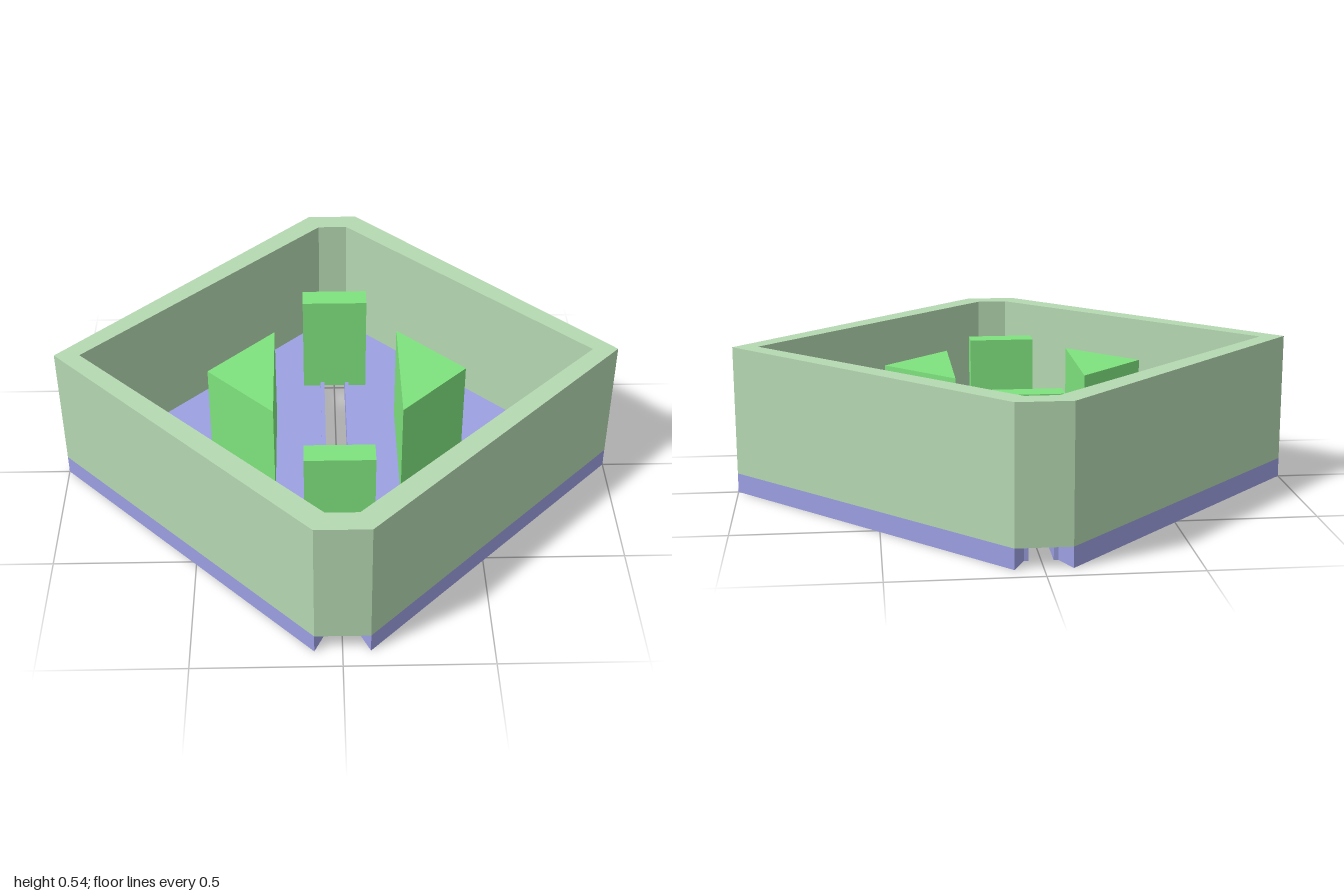
import * as THREE from 'three';

const paint = (color, side = THREE.FrontSide) => new THREE.MeshStandardMaterial({ color, side, flatShading: true });
const wallMat = paint(0xb5d9b2);
const floorMat = paint(0x9ca0e2);
const blockMat = paint(0x7fe37e);
const ringMat = paint(0x4a1818, THREE.DoubleSide);

const FLOOR_TOP = 0.07, WALL_TOP = 0.535, BLOCK_TOP = 0.457, RAIL_TOP = 0.085;

const toPoints = (pts) => pts.map(([x, z]) => new THREE.Vector2(x, -z));

// Upright prism from an [x, z] outline, between two heights
function prism(name, outline, y0, y1, material, hole) {
  const shape = new THREE.Shape(toPoints(outline));
  if (hole) shape.holes.push(new THREE.Path(toPoints(hole).reverse()));
  const geo = new THREE.ExtrudeGeometry(shape, { depth: y1 - y0, bevelEnabled: false });
  geo.rotateX(-Math.PI / 2).translate(0, y0, 0);
  const mesh = new THREE.Mesh(geo, material);
  mesh.name = name;
  return mesh;
}

// Diamond with its front and back points cut off
const diamond = (w, cut, d) => [[w, 0], [cut, d], [-cut, d], [-w, 0], [-cut, -d], [cut, -d]];

export function createModel() {
  const model = new THREE.Group();
  model.name = 'dividedDiamondTray';

  // Surrounding wall
  model.add(prism('wall', diamond(1, 0.093, 0.933), FLOOR_TOP, WALL_TOP, wallMat, diamond(0.91, 0.055, 0.853)));

  for (const s of [1, -1]) {
    const side = new THREE.Group();
    side.name = s > 0 ? 'leftHalf' : 'rightHalf';
    const flip = (pts) => pts.map(([x, z]) => [s * x, z]);

    // Floor half, flaring at the ends of the slot
    side.add(prism('floor', flip([[1, 0], [0.093, 0.933], [0.055, 0.853], [0.055, -0.853], [0.093, -0.933]]),
      0, FLOOR_TOP, floorMat));

    // Raised rail along the slot
    side.add(prism('slotRail', flip([[0.04, -0.853], [0.055, -0.853], [0.055, 0.853], [0.04, 0.853]]),
      0, RAIL_TOP, floorMat));

    // Triangular block
    side.add(prism('triangleBlock', flip([[0.225, -0.24], [0.462, 0], [0.225, 0.24]]),
      FLOOR_TOP, BLOCK_TOP, blockMat));

    // Thin ring standing on the floor
    const ring = new THREE.Mesh(new THREE.CylinderGeometry(0.113, 0.113, 0.012, 64, 1, true), ringMat);
    ring.name = 'floorRing';
    ring.position.set(s * 0.645, FLOOR_TOP + 0.006, 0);
    side.add(ring);
    model.add(side);

    // Bar bridging the slot
    const bar = new THREE.Mesh(new THREE.BoxGeometry(0.242, BLOCK_TOP - FLOOR_TOP, 0.082), blockMat);
    bar.name = s > 0 ? 'frontBar' : 'backBar';
    bar.position.set(0, (BLOCK_TOP + FLOOR_TOP) / 2, s * 0.466);
    model.add(bar);
  }
  return model;
}
